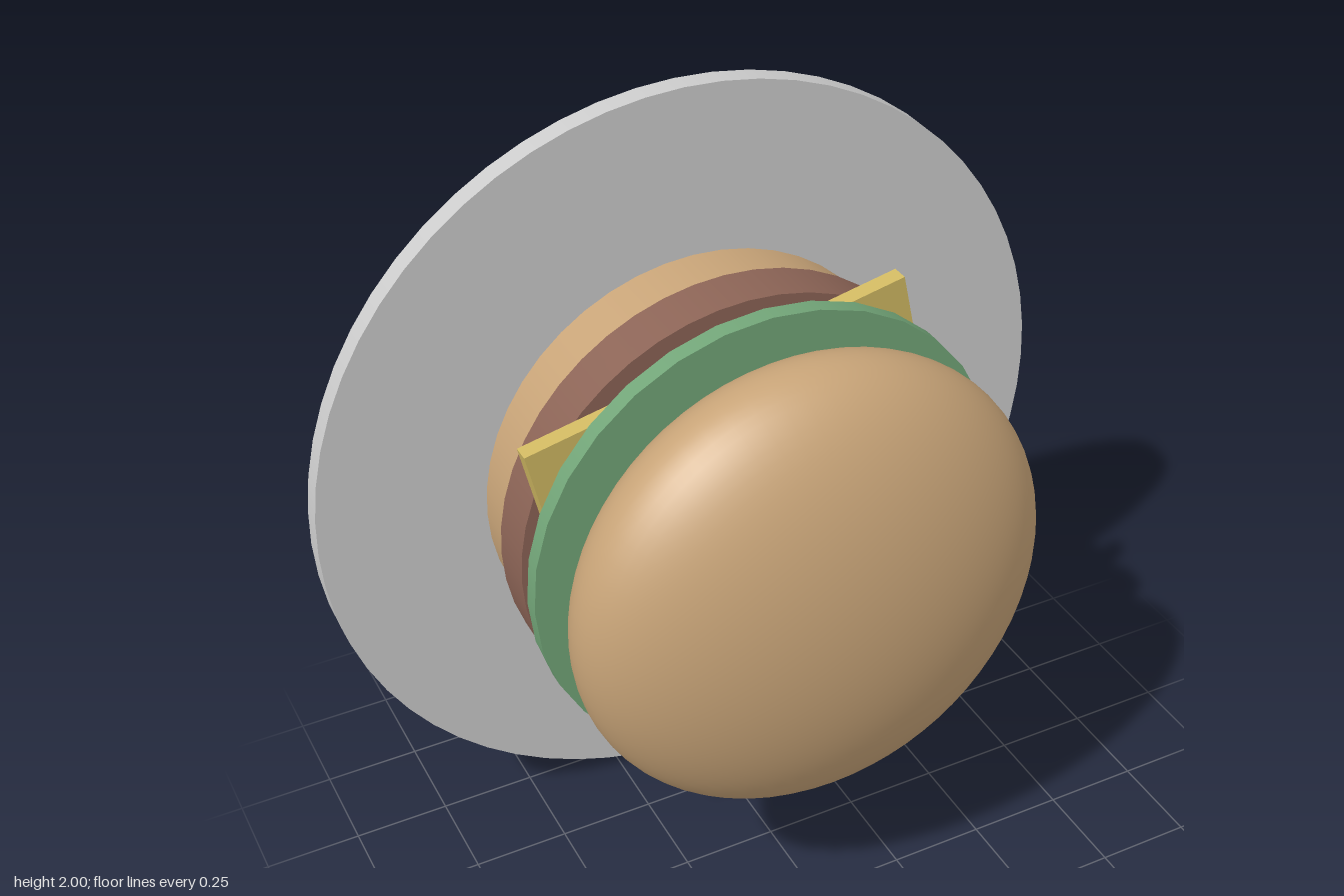
import * as THREE from 'three';

export function createModel() {
  const burger = new THREE.Group();
  burger.name = 'burgerOnPlate';
  const mat = (color) => new THREE.MeshStandardMaterial({ color });
  const bunMat = mat(0xc8a478);

  function add(name, geometry, material, z) {
    const mesh = new THREE.Mesh(geometry, material);
    mesh.name = name;
    mesh.position.set(0, 1, z);
    burger.add(mesh);
    return mesh;
  }

  // Round layer stacked along z, from back to front
  function disc(name, radius, back, front, segments, material) {
    const geometry = new THREE.CylinderGeometry(radius, radius, front - back, segments);
    geometry.rotateX(Math.PI / 2);
    return add(name, geometry, material, (back + front) / 2);
  }

  disc('plate', 1, -0.487, -0.43, 64, mat(0xcccccc));
  disc('bottomBun', 0.577, -0.405, -0.235, 48, bunMat);
  disc('patty', 0.606, -0.237, -0.106, 48, mat(0x8c6456));
  disc('lettuce', 0.622, -0.034, 0.012, 32, mat(0x72a578));

  // Square cheese slice, turned so its corners stick out
  const cheese = add('cheese', new THREE.BoxGeometry(0.998, 0.998, 0.044), mat(0xd0b962), -0.078);
  cheese.rotation.z = 0.21;

  // Flattened ball with its pole facing the front
  const dome = new THREE.SphereGeometry(1, 64, 40);
  dome.rotateX(Math.PI / 2);
  dome.scale(0.606, 0.606, 0.287);
  add('topBun', dome, bunMat, 0.2);

  return burger;
}
